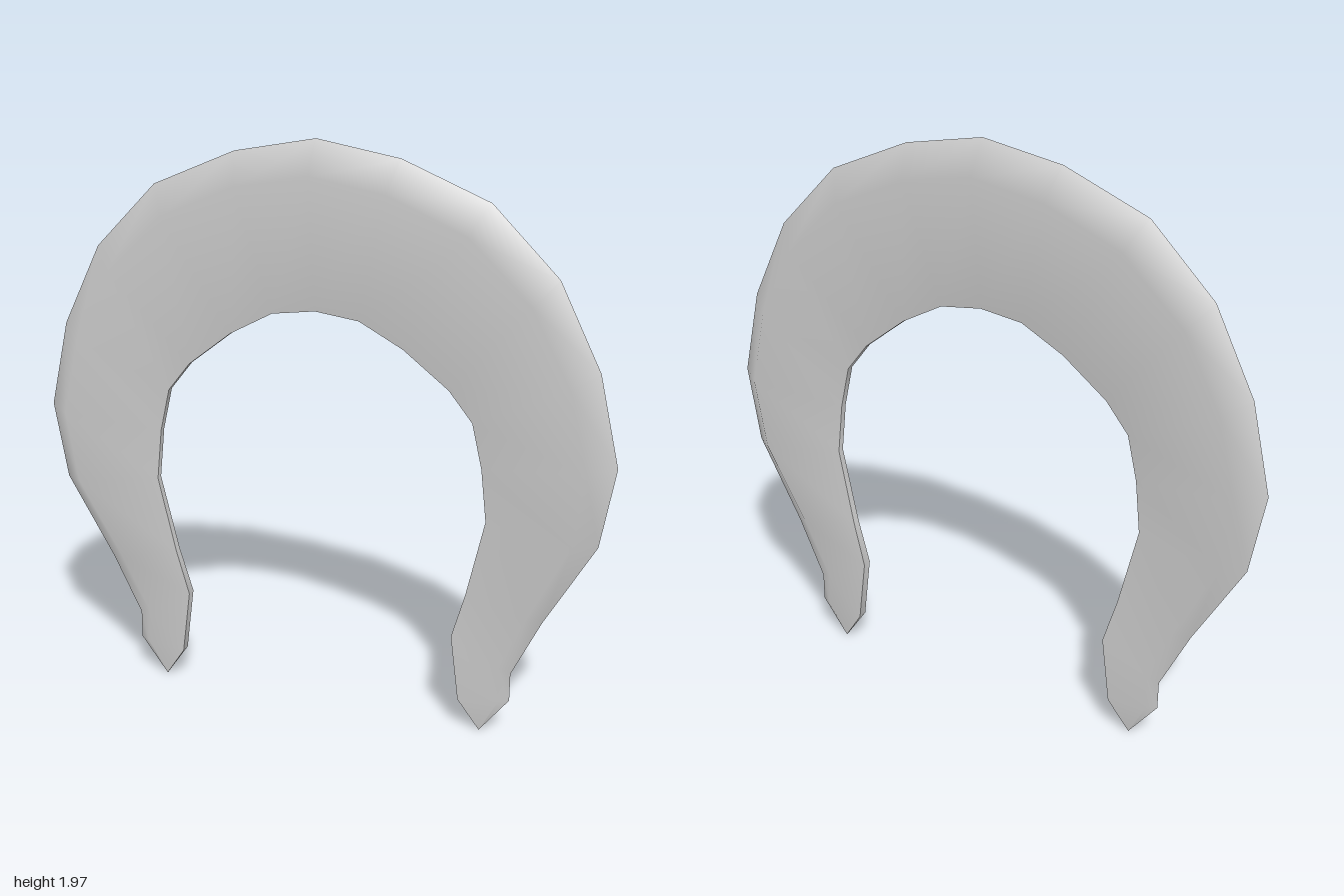
import * as THREE from 'three';

// Half-profile stations from crown to heel:
// outer x, y, inner x, y, half thickness at the ridge, inner half thickness, z shift
const HALF = [
  [0, 1.97, 0, 1.42, 0.07, 0.012, 0],
  [0.28, 1.92, 0.15, 1.4, 0.07, 0.012, 0],
  [0.57, 1.8, 0.3, 1.32, 0.07, 0.012, 0],
  [0.79, 1.58, 0.455, 1.2, 0.07, 0.012, 0],
  [0.93, 1.3, 0.535, 1.1, 0.07, 0.012, 0],
  [1, 1, 0.57, 0.95, 0.067, 0.012, 0],
  [0.955, 0.73, 0.59, 0.77, 0.054, 0.012, -0.002],
  [0.79, 0.44, 0.53, 0.5, 0.03, 0.014, -0.009],
  [0.69, 0.23, 0.485, 0.34, 0.017, 0.017, -0.014],
  [0.69, 0.13, 0.515, 0.11, 0.017, 0.017, -0.014],
  [0.59, 0, 0.59, 0, 0.003, 0.003, -0.014],
];
const RIDGE = 0.2; // ridge position across the width, from the outer edge

// Skin rows of points (all the same length) into one smooth sheet
function sheet(rows, name, material) {
  const n = rows[0].length;
  const index = [];
  for (let r = 0; r < rows.length - 1; r++) {
    for (let i = 0; i < n - 1; i++) {
      const a = r * n + i, b = a + 1, c = a + n, d = c + 1;
      index.push(a, c, b, b, c, d);
    }
  }
  const geometry = new THREE.BufferGeometry();
  geometry.setAttribute('position', new THREE.Float32BufferAttribute(rows.flat(2), 3));
  geometry.setIndex(index);
  geometry.computeVertexNormals();
  const mesh = new THREE.Mesh(geometry, material);
  mesh.name = name;
  return mesh;
}

export function createModel() {
  const group = new THREE.Group();
  group.name = 'horseshoe';
  const material = new THREE.MeshStandardMaterial({ color: 0xcccccc, side: THREE.DoubleSide });

  // Full run of stations, left heel to right heel over the crown
  const mirrored = HALF.slice(1).reverse().map(([ox, oy, ix, iy, ...rest]) => [-ox, oy, -ix, iy, ...rest]);
  const stations = [...mirrored, ...HALF];

  const outer = stations.map(([x, y, , , , , z]) => [x, y, z]);
  const ridge = (s) => stations.map(([ox, oy, ix, iy, t, , z]) =>
    [ox + (ix - ox) * RIDGE, oy + (iy - oy) * RIDGE, z + s * t]);
  const inner = (s) => stations.map(([, , x, y, , e, z]) => [x, y, z + s * e]);

  // Front and back faces meet in a sharp outer edge; a thin wall closes the inside
  group.add(sheet([outer, ridge(1), inner(1)], 'frontFace', material));
  group.add(sheet([inner(-1), ridge(-1), outer], 'backFace', material));
  group.add(sheet([inner(1), inner(-1)], 'innerWall', material));
  return group;
}
